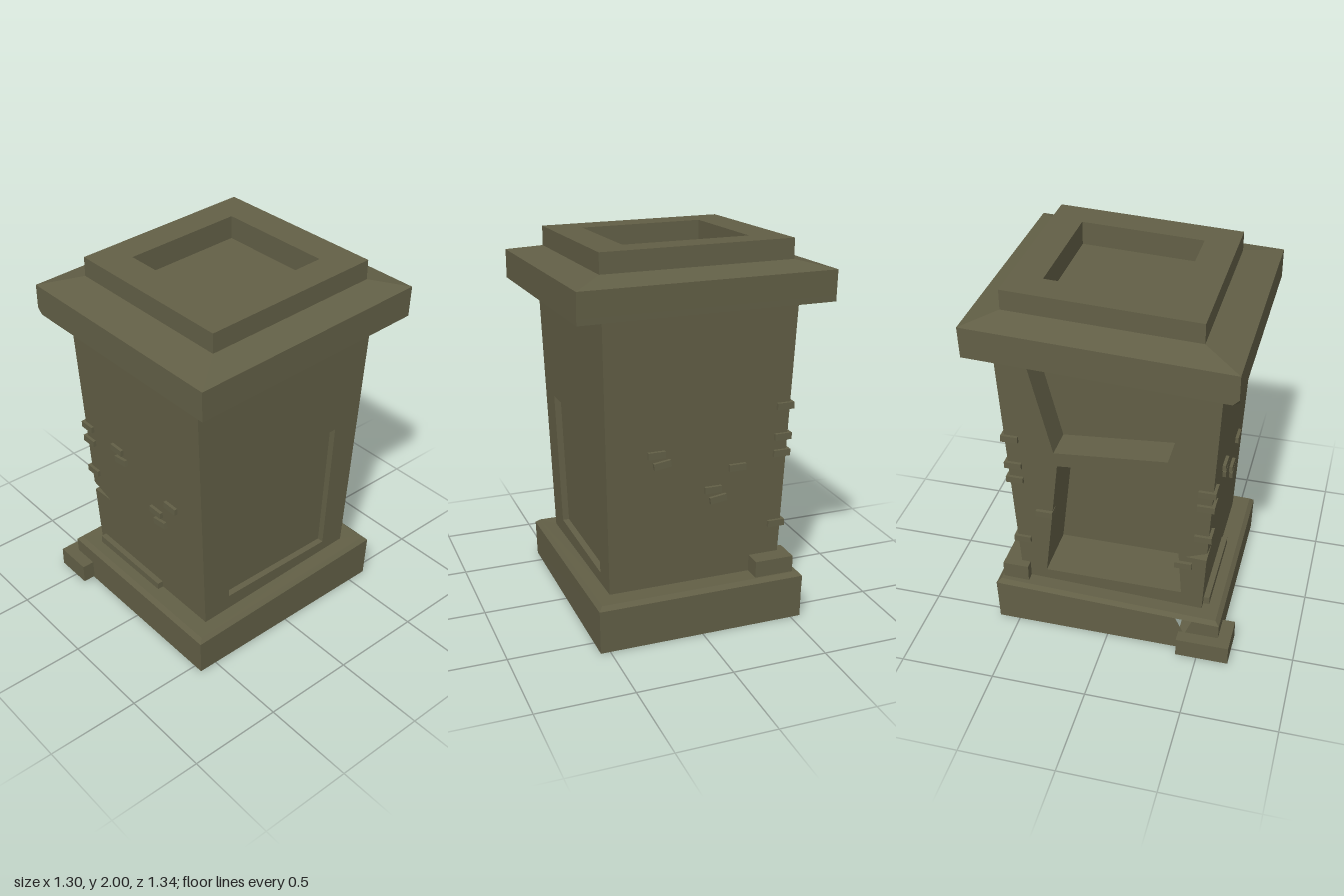
import * as THREE from 'three';

const stone = new THREE.MeshStandardMaterial({ color: 0x625f46, side: THREE.DoubleSide });
stone.name = 'olive stone';

// Half width and half depth of the tapering shaft at height y
const hx = y => 0.46 + 0.0276 * (y - 0.2);
const hz = y => 0.492 + 0.0483 * (y - 0.2);

// Each side maps (u along the wall, height, depth into the wall) to space
const sides = {
  front: (u, y, d = 0) => [u, y, hz(y) - d],
  back: (u, y, d = 0) => [-u, y, d - hz(y)],
  left: (u, y, d = 0) => [hx(y) - d, y, -u],
  right: (u, y, d = 0) => [d - hx(y), y, u],
};

function mesh(group, name, geometry) {
  const m = new THREE.Mesh(geometry, stone);
  m.name = name;
  group.add(m);
  return m;
}

// Flat-shaded surface from polygons, each split into a fan
function polygons(list) {
  const pos = [];
  for (const p of list)
    for (let i = 1; i < p.length - 1; i++) pos.push(...p[0], ...p[i], ...p[i + 1]);
  const g = new THREE.BufferGeometry();
  g.setAttribute('position', new THREE.Float32BufferAttribute(pos, 3));
  g.computeVertexNormals();
  return g;
}

// Quads joining successive rings
function loft(rings) {
  const list = [];
  for (let r = 0; r < rings.length - 1; r++) {
    const a = rings[r], b = rings[r + 1], n = a.length;
    for (let i = 0; i < n; i++) {
      const j = (i + 1) % n;
      list.push([a[i], a[j], b[j], b[i]]);
    }
  }
  return polygons(list);
}

// Rectangle sloping from front to back; the chipped front corner is doubled
function ring(w, zf, zb, yf, yb, chip = 0) {
  return [
    [-w, yf, zf - chip], [-w + chip, yf, zf],
    [w, yf, zf], [w, yb, zb], [-w, yb, zb],
  ];
}

function wall(side, outline, holes = []) {
  const toV = p => p.map(q => new THREE.Vector2(...q));
  const shape = new THREE.Shape(toV(outline));
  for (const h of holes) shape.holes.push(new THREE.Path(toV(h)));
  const g = new THREE.ShapeGeometry(shape);
  const p = g.attributes.position;
  for (let i = 0; i < p.count; i++) p.setXYZ(i, ...sides[side](p.getX(i), p.getY(i)));
  g.computeVertexNormals();
  return g;
}

// Inner faces of a recess behind an opening
function recess(side, corners, depth) {
  const outer = corners.map(c => sides[side](...c));
  const inner = corners.map(c => sides[side](...c, depth));
  const list = [inner];
  outer.forEach((o, i) => {
    const j = (i + 1) % outer.length;
    list.push([o, outer[j], inner[j], inner[i]]);
  });
  return polygons(list);
}

function box(group, name, x0, x1, y0, y1, z0, z1) {
  const m = mesh(group, name, new THREE.BoxGeometry(x1 - x0, y1 - y0, z1 - z0));
  m.position.set((x0 + x1) / 2, (y0 + y1) / 2, (z0 + z1) / 2);
  return m;
}

export function createModel() {
  const model = new THREE.Group();
  model.name = 'stone pillar';

  // Hollow base: skirt on three sides, bevel and top ledge
  const foot = ring(0.55, 0.6, -0.612, 0, 0);
  const brim = ring(0.555, 0.605, -0.62, 0.197, 0.236);
  const ledge = ring(0.535, 0.582, -0.598, 0.218, 0.257);
  const seat = ring(hx(0.23), hz(0.22), -hz(0.25), 0.22, 0.254);
  mesh(model, 'baseSkirt', polygons([1, 2, 3].map(i => {
    const j = (i + 1) % 5;
    return [foot[i], foot[j], brim[j], brim[i]];
  })));
  mesh(model, 'baseLedge', loft([brim, ledge, seat]));

  // Cracked base side with a notch in its upper edge
  const crack = new THREE.Shape([[-0.612, 0], [0.6, 0], [0.605, 0.197], [0.46, 0.202],
    [0.42, 0.1], [0.37, 0.205], [-0.62, 0.236]].map(p => new THREE.Vector2(...p)));
  const crackWall = mesh(model, 'baseCrackedSide', new THREE.ShapeGeometry(crack));
  crackWall.rotation.y = -Math.PI / 2;
  crackWall.position.x = -0.553;

  // Shaft walls with their openings
  const b = 0.2, t = 1.72;
  const panel = [[-0.335, 0.31], [0.35, 0.31], [0.37, 1.07], [-0.365, 1.04]]
    .map(([z, y]) => [z, y]);
  const sidePanel = [[-0.335, 0.31], [0.35, 0.31], [0.37, 1.07], [-0.365, 1.04]];
  const firebox = [[-0.36, 0.31], [0.38, 0.31], [0.33, 1.06], [0.18, 1.07],
    [0.12, 1.03], [0.06, 1.06], [-0.27, 1.03]];
  const niche = [[-0.285, 1.11], [0.3, 1.16], [0.43, 1.64], [-0.41, 1.66]];
  const notchF = [-0.33, 0.565], notchS = [0.4, 0.565];
  mesh(model, 'shaftFront', wall('front', [[-hx(b), b], [hx(b), b], [hx(t), t], [-hx(t), t],
    [-hx(0.61), 0.61], notchF, [-hx(0.56), 0.56]]));
  mesh(model, 'shaftBack', wall('back', [[-hx(b), b], [hx(b), b], [hx(t), t], [-hx(t), t]]));
  const sideOutline = [[-hz(b), b], [hz(b), b], [hz(t), t], [-hz(t), t]];
  mesh(model, 'shaftPanelSide', wall('left', sideOutline, [panel]));
  mesh(model, 'shaftOpenSide', wall('right', [[-hz(b), b], [hz(b), b], [hz(0.56), 0.56], notchS,
    [hz(0.61), 0.61], [hz(t), t], [-hz(t), t]], [firebox, niche]));
  mesh(model, 'sidePanelRecess', recess('left', sidePanel, 0.035));
  mesh(model, 'fireboxRecess', recess('right', firebox, 0.3));
  mesh(model, 'upperNiche', recess('right', niche, 0.17));

  // Chip in the shaft corner
  const f = sides.front(...notchF), s = sides.right(...notchS);
  mesh(model, 'cornerChip', polygons([
    [sides.front(-hx(0.61), 0.61), f, s],
    [sides.front(-hx(0.56), 0.56), s, f],
  ]));

  // Sloping cap, raised block and sunken basin
  mesh(model, 'cap', loft([
    ring(0, 0, 0, 1.68, 1.68),
    ring(0.65, 0.655, -0.662, 1.65, 1.708, 0.03),
    ring(0.65, 0.655, -0.663, 1.68, 1.738),
    ring(0.65, 0.655, -0.668, 1.805, 1.866),
    ring(0.493, 0.462, -0.512, 1.852, 1.897),
  ]));
  mesh(model, 'capBlock', loft([
    ring(0.493, 0.462, -0.512, 1.852, 1.897),
    ring(0.493, 0.462, -0.512, 1.955, 2.0),
    ring(0.325, 0.29, -0.35, 1.963, 1.993),
    ring(0.325, 0.29, -0.35, 1.84, 1.87),
    ring(0, -0.03, -0.03, 1.855, 1.855),
  ]));

  // Small bricks standing out of the front and back
  const bricks = [[-0.195, 0.99, 0], [-0.165, 0.935, 0.14], [0.24, 0.865, 0],
    [0.11, 0.76, 0], [0.14, 0.705, 0.14]];
  for (const [side, turn, shift] of [['front', 0, 0], ['back', Math.PI, -0.03]])
    for (const [u, y, tilt] of bricks) {
      const m = mesh(model, side + 'Brick', new THREE.BoxGeometry(0.09, 0.035, 0.05));
      m.position.set(...sides[side](u + shift, y, 0.007));
      m.rotation.set(0, turn, tilt);
    }

  // Bricks wrapping the two corners beside the openings
  for (const [sz, y] of [[-1, 1.165], [-1, 1.0], [-1, 0.91], [-1, 0.515],
    [1, 1.0], [1, 0.91], [1, 0.71]]) {
    const m = mesh(model, 'cornerBrick', new THREE.BoxGeometry(0.09, 0.035, 0.09));
    m.position.set(-hx(y) + 0.028, y, sz * (hz(y) - 0.028));
  }
  for (const [z, y] of [[-0.35, 0.71], [0.39, 0.515]]) {
    const m = mesh(model, 'openingBrick', new THREE.BoxGeometry(0.06, 0.035, 0.09));
    m.position.set(...sides.right(z, y, 0.01));
  }

  // Loose stones around the base
  box(model, 'groundStone', -0.62, -0.41, 0.01, 0.115, 0.39, 0.67);
  box(model, 'cornerStone', -0.51, -0.3, 0.23, 0.345, -0.59, -0.45);
  const slab = box(model, 'frontSlab', -0.42, 0.1, 0.205, 0.26, 0.47, 0.526);
  slab.rotation.z = -0.01;

  return model;
}
